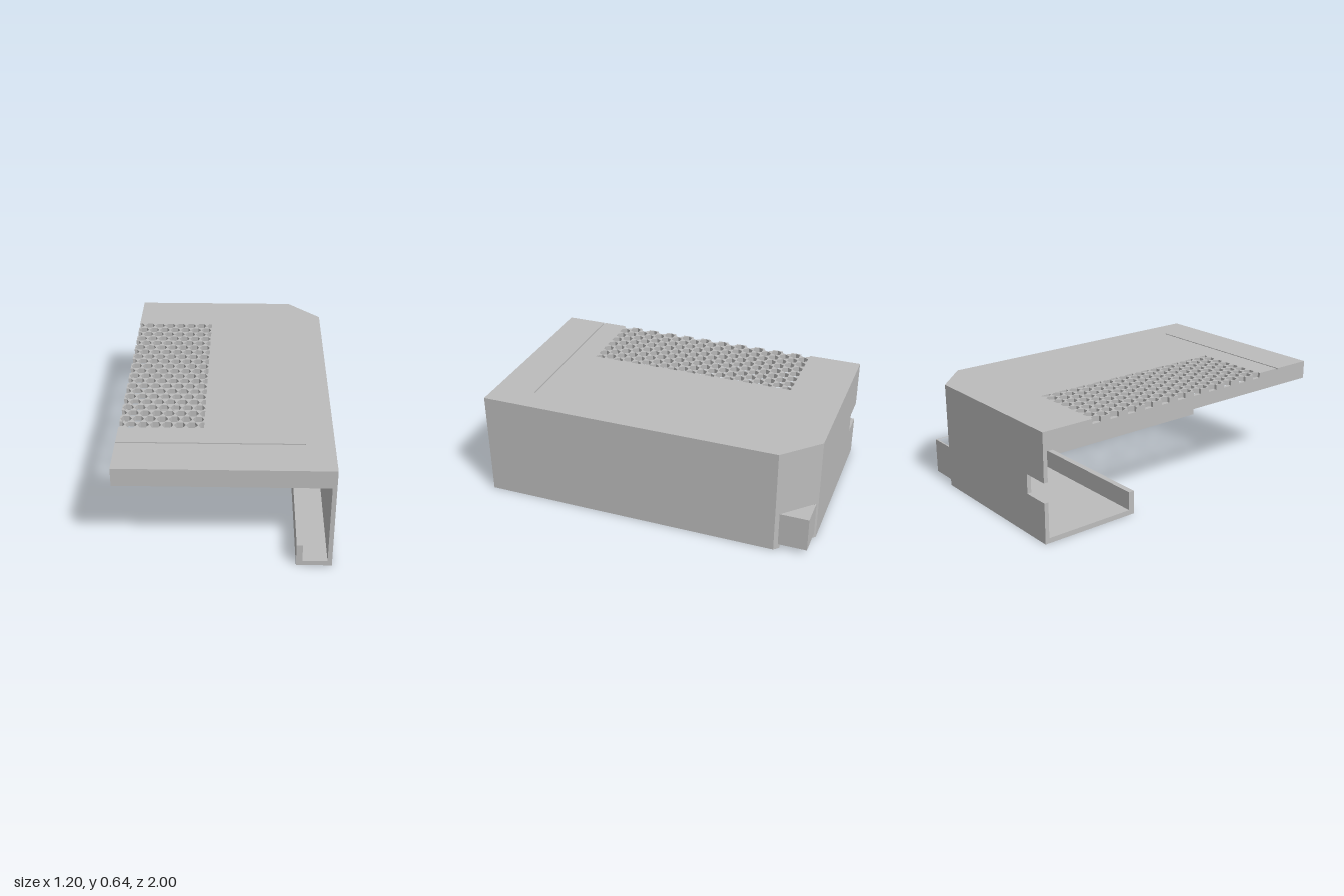
import * as THREE from 'three';

export function createModel() {
  const model = new THREE.Group();
  const grey = new THREE.MeshStandardMaterial({ color: 0xbcbcbc });
  grey.name = 'plain grey';

  const add = (geometry, name) => {
    const mesh = new THREE.Mesh(geometry, grey);
    mesh.name = name;
    model.add(mesh);
  };
  // Plan outlines are [x, z] points, raised from y0 to y1
  const plan = (points) => points.map(([x, z]) => new THREE.Vector2(x, -z));
  const slab = (name, points, y0, y1, holes = []) => {
    const shape = new THREE.Shape(plan(points));
    shape.holes = holes.map((h) => new THREE.Path(plan(h)));
    const geometry = new THREE.ExtrudeGeometry(shape, { depth: y1 - y0, bevelEnabled: false });
    geometry.rotateX(-Math.PI / 2).translate(0, y0, 0);
    add(geometry, name);
  };
  const rect = (x0, x1, z0, z1) => [[x0, z0], [x1, z0], [x1, z1], [x0, z1]];

  // Hexagon vent: staggered rows, cut in half at both sides of every even row
  const left = -0.6, right = -0.12, back = -0.68, front = 0.6;
  const rows = 21, columns = 7, R = 0.033;
  const pitch = (right - left) / columns, rowStep = (front - back) / rows;
  const H = R * Math.sqrt(3) / 2;
  const bites = [], vents = [];
  for (let r = 0; r < rows; r++) {
    const z = back + (r + 0.5) * rowStep;
    if (r % 2 === 0) {
      bites.push([left, z - H], [left + R / 2, z - H], [left + R, z], [left + R / 2, z + H], [left, z + H]);
      vents.push([[right, z - H], [right, z + H], [right - R / 2, z + H], [right - R, z], [right - R / 2, z - H]]);
    }
    const offset = r % 2 ? 0.5 : 1;
    const count = r % 2 ? columns : columns - 1;
    for (let c = 0; c < count; c++) {
      const x = left + (c + offset) * pitch;
      vents.push([[x - R, z], [x - R / 2, z - H], [x + R / 2, z - H], [x + R, z], [x + R / 2, z + H], [x - R / 2, z + H]]);
    }
  }

  // Top plate in two layers, the upper one split by a shallow groove
  const groove = [[left, 0.745], [0.44, 0.745], [0.44, 0.755], [left, 0.755]];
  const edge = [[-0.6, 1], [0.6, 1], [0.6, -0.8], [0.4, -1], [-0.6, -1]];
  slab('topPlateLower', [...edge, ...bites], 0.61, 0.63, vents);
  slab('topPlateUpper', [...edge, ...bites, ...groove], 0.63, 0.64, vents);

  // Rim hanging under the front and the open side
  slab('frontRim', rect(-0.6, 0.6, 0.975, 1), 0.53, 0.61);
  slab('sideRim', rect(-0.6, -0.575, -0.975, 0.975), 0.53, 0.61);

  // L-shaped floor, cut out for the corner sleeve
  slab('floor', [
    [-0.6, -1], [0.4, -1], [0.42, -0.98], [0.385, -0.98], [0.385, -0.78], [0.57, -0.78],
    [0.57, -0.83], [0.6, -0.8], [0.6, 1], [0.4, 1], [0.4, -0.39], [-0.6, -0.39],
  ], 0, 0.03);

  // Lip along the inner edge of the floor
  slab('floorLip', [
    [-0.6, -0.39], [0.4, -0.39], [0.4, 1], [0.435, 1], [0.435, -0.425], [-0.6, -0.425],
  ], 0.03, 0.14);

  // Side wall and chamfered corner
  slab('sideWall', [[0.6, 1], [0.575, 1], [0.575, -0.805], [0.6, -0.8]], 0.03, 0.61);
  slab('cornerWall', [[0.4, -1], [0.6, -0.8], [0.575, -0.805], [0.405, -0.975]], 0.24, 0.61);
  slab('cornerWallEnd', [[0.4, -1], [0.42, -0.98], [0.405, -0.975]], 0.03, 0.24);
  slab('cornerWallEnd', [[0.6, -0.8], [0.57, -0.83], [0.575, -0.805]], 0.03, 0.24);

  // Back wall with a notch at its free end
  const wall = new THREE.Shape([
    [-0.6, 0.03], [0.4, 0.03], [0.4, 0.61], [-0.6, 0.61],
    [-0.6, 0.355], [-0.44, 0.355], [-0.44, 0.24], [-0.6, 0.24],
  ].map(([x, y]) => new THREE.Vector2(x, y)));
  const wallGeometry = new THREE.ExtrudeGeometry(wall, { depth: 0.025, bevelEnabled: false });
  add(wallGeometry.translate(0, 0, -1), 'backWall');

  // Open square sleeve through the chamfered corner
  slab('cornerSleeve', rect(0.37, 0.58, -0.99, -0.765), 0.03, 0.24, [rect(0.385, 0.57, -0.98, -0.78)]);

  return model;
}
